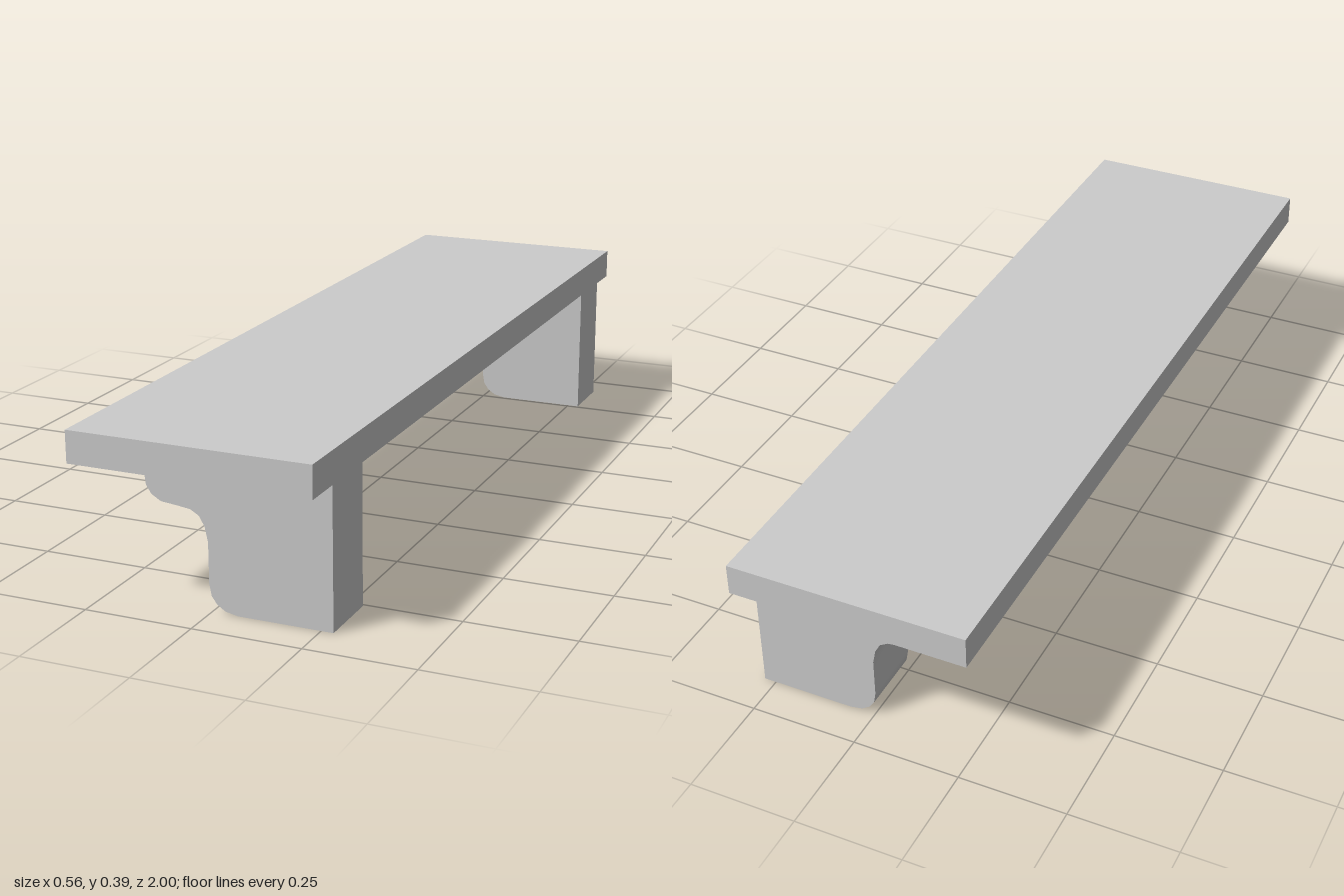
import * as THREE from 'three';
import { toCreasedNormals } from 'three/addons/utils/BufferGeometryUtils.js';

const HALF_WIDTH = 0.278, HEIGHT = 0.393, BOARD_BOTTOM = 0.32;
const BRACKET_WIDTH = 0.15, BRACKET_Z = 0.832;

export function createModel() {
  const model = new THREE.Group();
  model.name = 'wallShelf';
  const material = new THREE.MeshStandardMaterial({ color: 0xcccccc });

  // Flat board
  const thickness = HEIGHT - BOARD_BOTTOM;
  const board = new THREE.Mesh(new THREE.BoxGeometry(2 * HALF_WIDTH, thickness, 2), material);
  board.name = 'board';
  board.position.y = BOARD_BOTTOM + thickness / 2;
  model.add(board);

  // Bracket outline: straight wall side at +x, stepped ogee curve on the open side
  const outline = [
    [-0.152, BOARD_BOTTOM], [-0.152, 0.3], [-0.147, 0.262], [-0.135, 0.243], [-0.113, 0.23],
    [-0.074, 0.226], [-0.044, 0.222], [-0.024, 0.21], [-0.012, 0.188], [-0.005, 0.155],
    [-0.005, 0.064], [0, 0.036], [0.012, 0.019], [0.031, 0.006], [0.06, 0],
    [HALF_WIDTH, 0], [HALF_WIDTH, BOARD_BOTTOM],
  ].map(([x, y]) => new THREE.Vector2(x, y));
  const extruded = new THREE.ExtrudeGeometry(new THREE.Shape(outline), {
    depth: BRACKET_WIDTH, bevelEnabled: false,
  });
  extruded.translate(0, 0, -BRACKET_WIDTH / 2);
  const bracketGeometry = toCreasedNormals(extruded, 0.8);

  // One bracket near each end
  for (const [name, z] of [['frontBracket', BRACKET_Z], ['backBracket', -BRACKET_Z]]) {
    const bracket = new THREE.Mesh(bracketGeometry, material);
    bracket.name = name;
    bracket.position.z = z;
    model.add(bracket);
  }
  return model;
}
